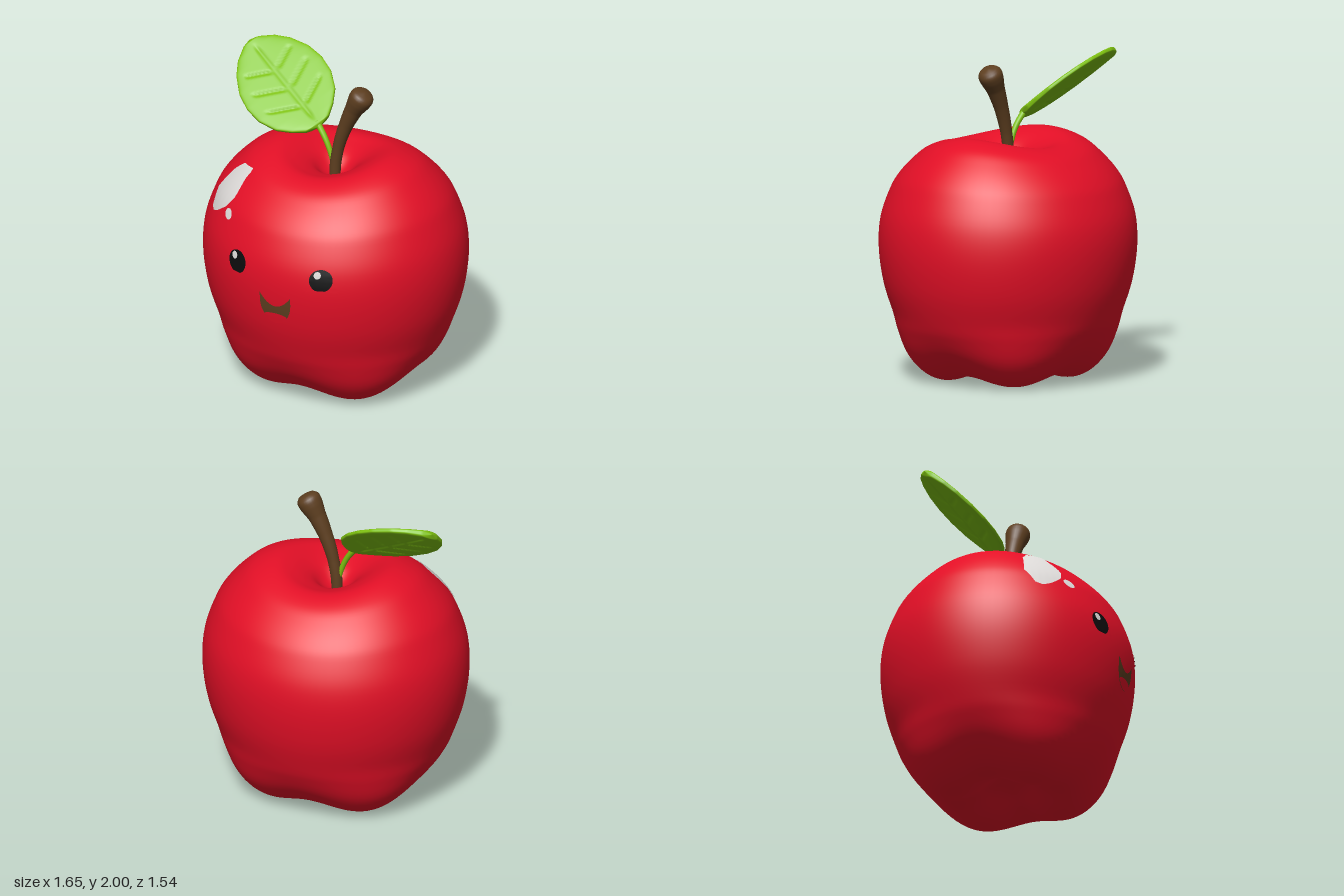
import * as THREE from 'three';
import { mergeVertices } from 'three/addons/utils/BufferGeometryUtils.js';

const V3 = (x, y, z) => new THREE.Vector3(x, y, z);
const smooth = THREE.MathUtils.smoothstep;

function material(name, color) {
  const m = new THREE.MeshStandardMaterial({ color });
  m.name = name;
  return m;
}

// Piecewise-linear lookup through [x, y] points
function lookup(points, x) {
  if (x <= points[0][0]) return points[0][1];
  for (let i = 1; i < points.length; i++) {
    const [x0, y0] = points[i - 1], [x1, y1] = points[i];
    if (x <= x1) return y0 + (y1 - y0) * (x - x0) / (x1 - x0);
  }
  return points[points.length - 1][1];
}

// Moves every vertex by a rule, then welds seams so the shading is smooth
function reshape(geometry, rule) {
  const p = geometry.attributes.position, v = V3();
  for (let i = 0; i < p.count; i++) {
    v.fromBufferAttribute(p, i);
    rule(v, i);
    p.setXYZ(i, v.x, v.y, v.z);
  }
  geometry.deleteAttribute('uv');
  geometry.deleteAttribute('normal');
  const welded = mergeVertices(geometry, 1e-5);
  welded.computeVertexNormals();
  return welded;
}

// Apple: a lathe flattened in depth, with lower front/back rims and four feet
function appleGeometry() {
  const profile = [
    [0, 0.14], [0.12, 0.12], [0.22, 0.075], [0.33, 0.05], [0.42, 0.06], [0.51, 0.11],
    [0.605, 0.2], [0.675, 0.3], [0.725, 0.4], [0.793, 0.6], [0.825, 0.82], [0.812, 1.02],
    [0.752, 1.2], [0.695, 1.3], [0.605, 1.4], [0.51, 1.475], [0.38, 1.517], [0.27, 1.495],
    [0.16, 1.43], [0.08, 1.35], [0, 1.3],
  ].map(([x, y]) => new THREE.Vector2(x, y));
  const points = new THREE.SplineCurve(profile).getPoints(100);
  points.forEach((p) => { p.x = Math.max(0, p.x); });
  points[0].x = points[100].x = 0;
  return reshape(new THREE.LatheGeometry(points, 96), (v) => {
    const r = Math.hypot(v.x, v.z), a = Math.atan2(v.z, v.x);
    const foot = (0.5 - 0.5 * Math.cos(4 * a)) * (1 - smooth(v.y, 0.06, 0.45)) * smooth(r, 0.05, 0.3);
    const widen = 1 + 0.09 * foot;
    if (v.y > 0.85) v.y -= 0.095 * (v.y - 0.85) * Math.sin(a) ** 2 * smooth(r, 0, 0.3);
    v.set(v.x * widen, v.y - 0.05 * foot, v.z * widen * 0.935);
  });
}

// Tube whose radius follows a function of its length
function taperedTube(path, radiusAt, segments = 40, sides = 20) {
  const curve = new THREE.CatmullRomCurve3(path);
  const geometry = new THREE.TubeGeometry(curve, segments, 1, sides);
  return reshape(geometry, (v, i) => {
    const t = Math.floor(i / (sides + 1)) / segments;
    const c = curve.getPointAt(t);
    v.sub(c).multiplyScalar(radiusAt(t)).add(c);
  });
}

// Leaf: a sphere pressed into a rounded slab with grooved veins
function leafGeometry() {
  const base = V3(-0.12, 1.62, -0.01), tip = V3(-0.75, 1.96, -0.26);
  const length = base.distanceTo(tip);
  const along = tip.clone().sub(base).normalize();
  const up = V3(0.163, 0.763, 0.626);
  up.addScaledVector(along, -up.dot(along)).normalize();
  const side = along.clone().cross(up);
  const frame = new THREE.Matrix4().makeBasis(side, along, up).setPosition(base);
  const halfWidth = [
    [0, 0], [0.03, 0.085], [0.1, 0.155], [0.2, 0.225], [0.35, 0.273], [0.5, 0.283],
    [0.65, 0.262], [0.8, 0.205], [0.9, 0.14], [0.97, 0.06], [1, 0],
  ];
  const groove = (d, size) => Math.exp(-((d / size) ** 2));
  return reshape(new THREE.SphereGeometry(1, 128, 96), (v) => {
    const t = (v.y + 1) / 2, w = lookup(halfWidth, t);
    const ring = Math.hypot(v.x, v.z) || 1;
    const c = v.x / ring, s = v.z / ring;
    const x = w * c, ax = Math.abs(x);
    let h = 0.024 * Math.min(1, w / 0.06) * Math.sqrt(Math.abs(s));
    let dent = 0.8 * groove(x, 0.012) * smooth(t, 0.05, 0.15) * (1 - smooth(t, 0.85, 0.95));
    for (const start of [0.22, 0.42, 0.62]) {
      const reach = smooth(ax, 0.015, 0.04) * (1 - smooth(ax, w * 0.65, w * 0.8));
      dent = Math.max(dent, groove(t - start - ax * 0.7, 0.016) * reach);
    }
    h *= 1 - 0.45 * dent;
    v.set(x, t * length, Math.sign(s) * h).applyMatrix4(frame);
  });
}

export function createModel() {
  const red = material('apple red', 0xe30f26);
  const green = material('leaf green', 0x7fc210);
  const brown = material('stem brown', 0x5e3f20);
  const black = material('eye black', 0x0c0c0d);
  const white = material('shine white', 0xdedbd9);
  const group = new THREE.Group();
  group.name = 'apple';

  const add = (name, geometry, mat) => {
    const mesh = new THREE.Mesh(geometry, mat);
    mesh.name = name;
    group.add(mesh);
    return mesh;
  };

  const body = add('body', appleGeometry(), red);
  body.updateMatrixWorld();

  // Stem with a flared, rounded end
  const stemRadius = [
    [0, 0.034], [0.35, 0.036], [0.6, 0.045], [0.78, 0.057], [0.88, 0.073], [0.93, 0.076],
    [0.96, 0.07], [0.985, 0.05], [1, 0],
  ];
  add('stem', taperedTube(
    [V3(-0.01, 1.27, 0), V3(0, 1.43, 0), V3(0.04, 1.6, 0), V3(0.11, 1.77, 0), V3(0.205, 1.937, 0)],
    (t) => lookup(stemRadius, t), 64, 28), brown);

  // Leaf and its stalk
  add('leaf', leafGeometry(), green);
  add('leafStalk', taperedTube(
    [V3(0, 1.32, 0), V3(-0.035, 1.46, 0), V3(-0.075, 1.55, -0.005), V3(-0.15, 1.65, -0.025)],
    (t) => 0.014 + 0.006 * t, 24, 12), green);

  // Face details: thin patches between two curves, laid on the apple's skin
  const ray = new THREE.Raycaster();
  const patch = (name, mat, x0, x1, bottom, top, lift) => {
    const geometry = reshape(new THREE.PlaneGeometry(1, 1, 28, 10), (v) => {
      // Cosine spacing keeps rounded ends smooth
      const x = x0 + (x1 - x0) * (0.5 - 0.5 * Math.cos((v.x + 0.5) * Math.PI));
      const y = THREE.MathUtils.lerp(bottom(x), top(x), v.y + 0.5);
      ray.set(V3(x, y, 3), V3(0, 0, -1));
      const hit = ray.intersectObject(body)[0];
      if (hit) v.copy(hit.point).addScaledVector(hit.face.normal, lift);
      else v.set(x, y, 0.3);
    });
    return add(name, geometry, mat);
  };
  const arc = (cx, cy, rx, ry) => (x) => cy + ry * Math.sqrt(Math.max(0, 1 - ((x - cx) / rx) ** 2));
  const oval = (name, mat, cx, cy, rx, ry, lift) =>
    patch(name, mat, cx - rx, cx + rx, arc(cx, cy, rx, -ry), arc(cx, cy, rx, ry), lift);

  // Eyes: red lid crescent, black eye cut by the cheek, small glint
  for (const [label, sign] of [['left', 1], ['right', -1]]) {
    const cx = 0.29 * sign, cy = 0.978;
    const cheek = arc(cx, 0.875, 0.104, 0.035);
    const lower = arc(cx, cy, 0.069, -0.075);
    patch(label + 'EyeLid', red, cx - 0.104, cx + 0.104, cheek, arc(cx, 0.88, 0.104, 0.17), 0.002);
    patch(label + 'Eye', black, cx - 0.069, cx + 0.069,
      (x) => Math.max(lower(x), cheek(x)), arc(cx, cy, 0.069, 0.066), 0.005);
    oval(label + 'EyeGlint', white, cx - 0.022, 1.008, 0.021, 0.023, 0.008);
  }

  // Open smiling mouth with tongue
  const mouthBottom = arc(0, 0.79, 0.106, -0.148);
  patch('mouth', brown, -0.106, 0.106, mouthBottom,
    (x) => 0.76 + 0.075 * (x / 0.106) ** 2, 0.004);
  patch('tongue', red, -0.078, 0.078, mouthBottom, arc(0, 0.69, 0.078, 0.022), 0.007);

  // Shine on the shoulder
  const shineTop = [[-0.625, 1.25], [-0.58, 1.315], [-0.53, 1.375], [-0.47, 1.42], [-0.38, 1.43]];
  const shineBottom = [
    [-0.625, 1.155], [-0.6, 1.14], [-0.55, 1.165], [-0.47, 1.225], [-0.42, 1.29], [-0.4, 1.38], [-0.38, 1.415],
  ];
  patch('shine', white, -0.625, -0.38, (x) => lookup(shineBottom, x), (x) => lookup(shineTop, x), 0.005);
  oval('shineDot', white, -0.435, 1.197, 0.031, 0.029, 0.005);

  return group;
}
